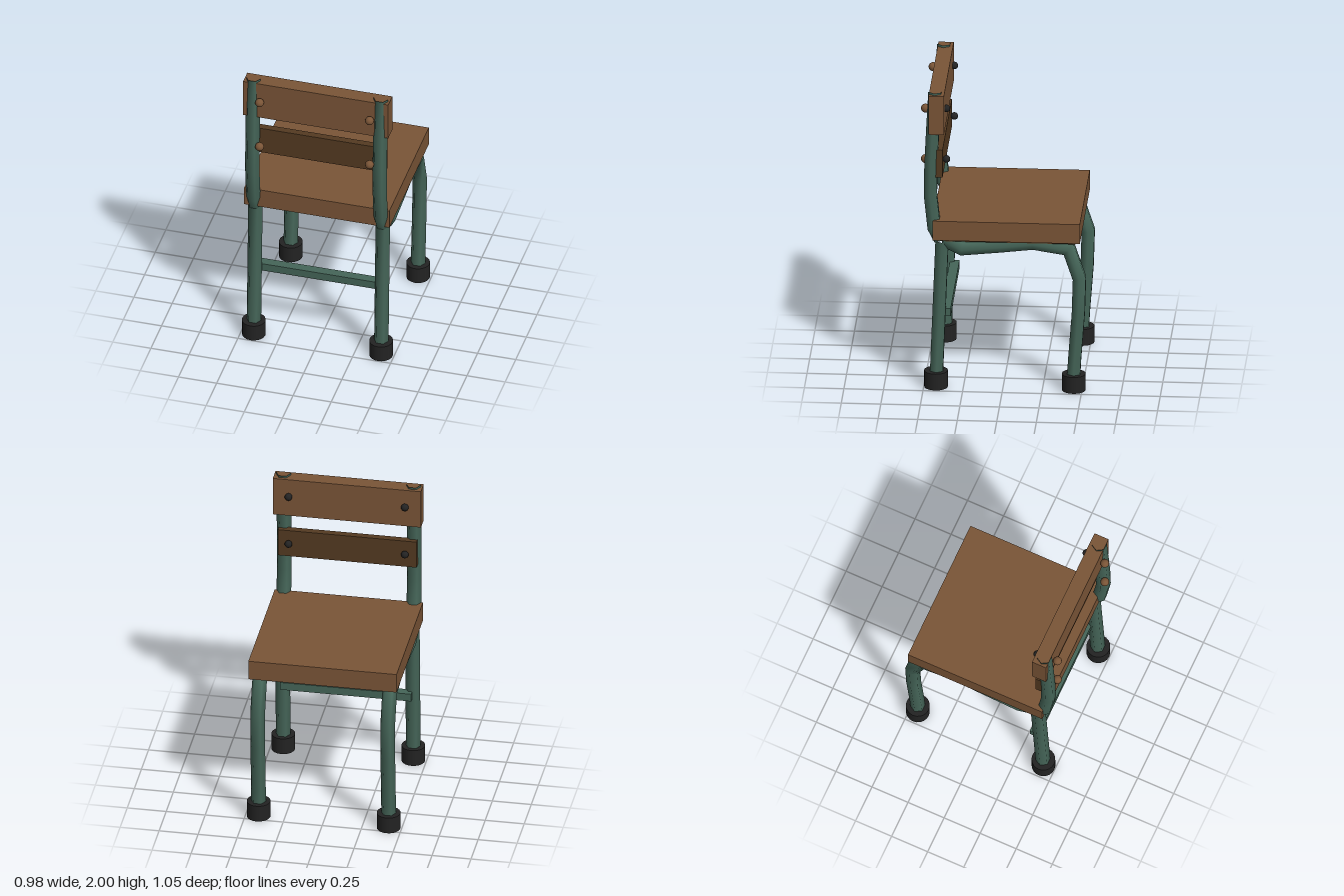
import * as THREE from 'three';

const mat = (name, color, side = THREE.FrontSide) => {
  const m = new THREE.MeshStandardMaterial({ color, side });
  m.name = name;
  return m;
};

// Open six-sided tube with mitred bends; path points are [y, z] at a fixed x.
function bentTube(path, r = 0.047, sides = 6) {
  const pts = path.map(([y, z]) => new THREE.Vector2(z, y));
  const pos = [], index = [];
  pts.forEach((p, i) => {
    const a = p.clone().sub(pts[Math.max(i - 1, 0)]).normalize();
    const b = pts[Math.min(i + 1, pts.length - 1)].clone().sub(p).normalize();
    const t = a.clone().add(b).normalize();
    const miter = 1 / Math.max(t.dot(i ? a : b), 0.5);
    for (let k = 0; k < sides; k++) {
      const ang = (k / sides) * Math.PI * 2;
      const d = r * Math.sin(ang) * miter;
      pos.push(r * Math.cos(ang), p.y - t.x * d, p.x + t.y * d);
      if (i === 0) continue;
      const c = i * sides + k, e = i * sides + ((k + 1) % sides);
      index.push(c - sides, c, e - sides, c, e, e - sides);
    }
  });
  const g = new THREE.BufferGeometry();
  g.setAttribute('position', new THREE.Float32BufferAttribute(pos, 3));
  g.setIndex(index);
  g.computeVertexNormals();
  return g;
}

export function createModel() {
  const wood = mat('wood', 0x7a5537);
  const darkWood = mat('darkWood', 0x543a21);
  const metal = mat('greenMetal', 0x456558);
  const rubber = mat('blackRubber', 0x232323);

  const chair = new THREE.Group();
  chair.name = 'chair';
  const add = (name, geo, material, x = 0, y = 0, z = 0) => {
    const m = new THREE.Mesh(geo, material);
    m.name = name;
    m.position.set(x, y, z);
    chair.add(m);
    return m;
  };
  // Box from its extents: half width, y range, z range
  const slab = (name, material, hx, y0, y1, z0, z1) =>
    add(name, new THREE.BoxGeometry(hx * 2, y1 - y0, z1 - z0), material, 0, (y0 + y1) / 2, (z0 + z1) / 2);

  // Seat and its underside panel
  slab('seat', wood, 0.475, 1.01, 1.14, -0.49, 0.44);
  slab('seatPanel', darkWood, 0.46, 1.0, 1.011, -0.46, 0.415);

  // Back slats and the bar between the back legs
  slab('topSlat', wood, 0.475, 1.725, 1.985, 0.37, 0.467);
  slab('lowerSlat', darkWood, 0.445, 1.425, 1.61, 0.38, 0.425);
  slab('crossbar', metal, 0.42, 0.478, 0.53, 0.33, 0.39);

  // Tubes, listed from bottom to top
  const upright = bentTube([[1.0, 0.395], [1.08, 0.435], [1.3, 0.458], [1.5, 0.455], [1.72, 0.445], [2.0, 0.43]]);
  const backLeg = bentTube([[0.04, 0.422], [0.99, 0.385]]);
  const frontLeg = bentTube([
    [0.04, -0.445], [0.2, -0.453], [0.52, -0.477], [0.755, -0.484], [0.955, -0.417],
    [0.99, -0.19], [0.965, 0.02], [0.94, 0.26], [1.0, 0.375],
  ]);
  const foot = new THREE.CylinderGeometry(0.075, 0.075, 0.11, 20);
  const knob = new THREE.SphereGeometry(0.028, 16, 12);
  const bolt = new THREE.SphereGeometry(0.024, 16, 12);

  for (const s of [-1, 1]) {
    const side = s > 0 ? 'Left' : 'Right';
    add('backUpright' + side, upright, metal, s * 0.417);
    add('backLeg' + side, backLeg, metal, s * 0.417);
    add('frontLeg' + side, frontLeg, metal, s * 0.417);
    add('backFoot' + side, foot, rubber, s * 0.417, 0.055, 0.423);
    add('frontFoot' + side, foot, rubber, s * 0.417, 0.055, -0.448);
    // Bolts through each slat: wooden knob behind, black end in front
    for (const y of [1.86, 1.518]) {
      add('slatKnob' + side, knob, wood, s * 0.36, y, 0.494);
      add('slatBolt' + side, bolt, rubber, s * 0.373, y + 0.006, 0.36);
    }
  }
  return chair;
}
